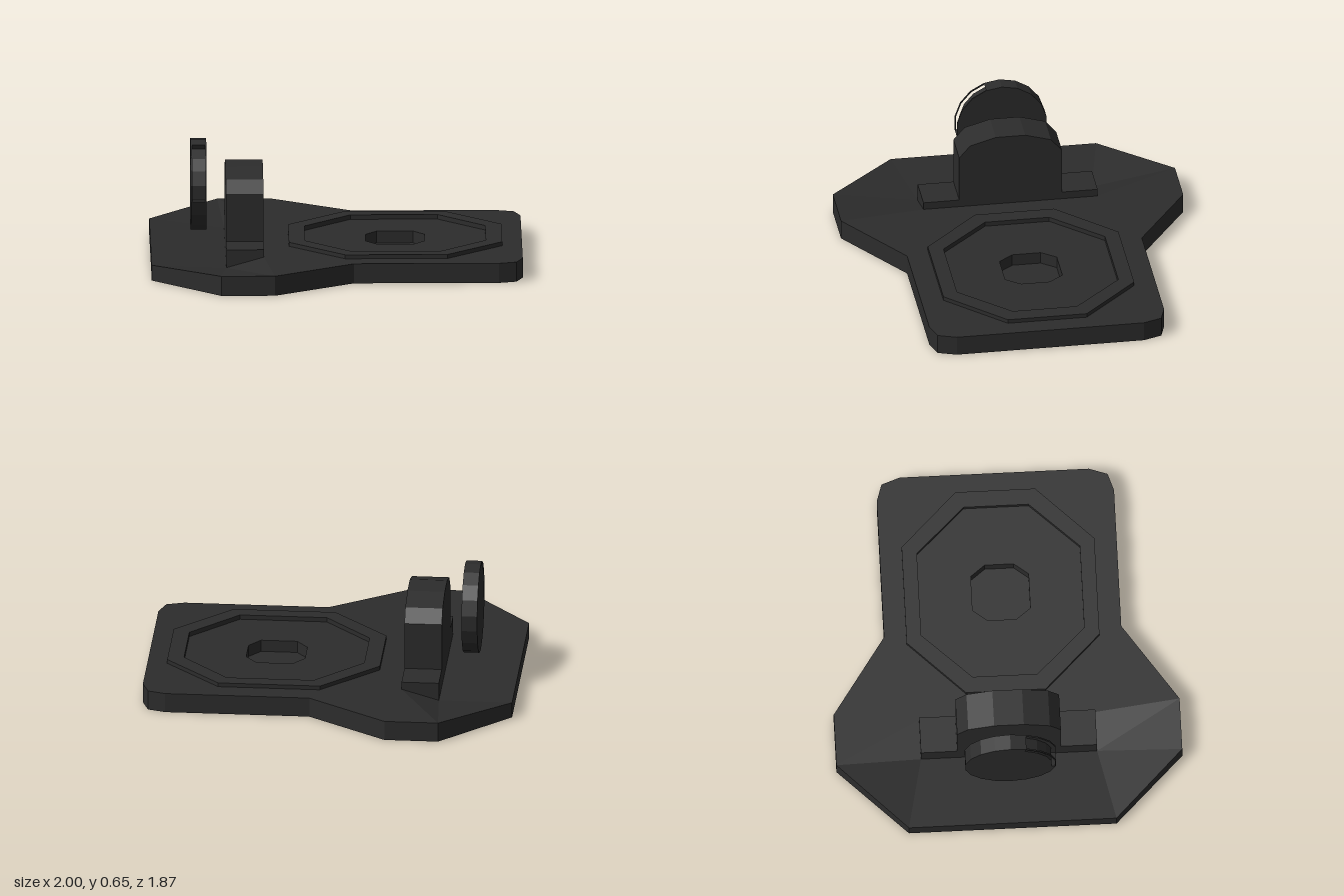
import * as THREE from 'three';

const material = new THREE.MeshStandardMaterial({ color: 0x2c2c2c, flatShading: true, side: THREE.DoubleSide });

const shape2 = (pts) => new THREE.Shape(pts.map(([a, b]) => new THREE.Vector2(a, b)));

// Horizontal sheet at height y from [x, z] points, with optional holes
function sheet(outline, y, holes = []) {
  const flip = (pts) => pts.map(([x, z]) => [x, -z]);
  const s = shape2(flip(outline));
  holes.forEach((h) => s.holes.push(shape2(flip(h))));
  return new THREE.ShapeGeometry(s).rotateX(-Math.PI / 2).translate(0, y, 0);
}

// Strip of quads between two rows of 3D points
function strip(a, b, closed = true) {
  const pos = [];
  const n = a.length;
  for (let i = 0; i < (closed ? n : n - 1); i++) {
    const j = (i + 1) % n;
    pos.push(...a[i], ...a[j], ...b[j], ...a[i], ...b[j], ...b[i]);
  }
  const g = new THREE.BufferGeometry();
  g.setAttribute('position', new THREE.Float32BufferAttribute(pos, 3));
  g.computeVertexNormals();
  return g;
}

const wall = (pts, y0, y1) => strip(pts.map(([x, z]) => [x, y0, z]), pts.map(([x, z]) => [x, y1, z]));

// Octagon with half sizes hx, hz and flat side half lengths fx, fz
function octagon(cx, hx, hz, fx, fz) {
  return [[hx, fz], [fx, hz], [-fx, hz], [-hx, fz], [-hx, -fz], [-fx, -hz], [fx, -hz], [hx, -fz]]
    .map(([x, z]) => [cx + x, z]);
}

export function createModel() {
  const root = new THREE.Group();
  const part = (name, ...geometries) => {
    const group = new THREE.Group();
    group.name = name;
    geometries.forEach((g) => group.add(new THREE.Mesh(g, material)));
    root.add(group);
  };

  const TOP = 0.108, END = 0.085, DIP = 0.05; // plate heights: main, far end, beside the support
  const X0 = -0.597, X1 = -0.395, FOOT = 0.475; // support extents
  const half = [[1, 0.51], [0.965, 0.61], [0.87, 0.64], [0.09, 0.64], [-0.34, 0.933], [-0.63, 0.933], [-1, 0.56]];
  const mirror = (pts) => [...pts, ...pts.map(([x, z]) => [x, -z]).reverse()];
  const mirror3 = (pts) => [...pts, ...pts.map(([x, y, z]) => [x, y, -z]).reverse()];
  const outline = mirror(half);

  const outer = octagon(0.318, 0.575, 0.52, 0.275, 0.215);
  const inner = octagon(0.318, 0.487, 0.44, 0.235, 0.175);
  const cup = octagon(0.318, 0.159, 0.156, 0.098, 0.078);

  // Hollow base: side walls, flat top, and the wing that dips towards the support; open below
  part('basePlate',
    strip(outline.map(([x, z]) => [x, 0, z]), outline.map(([x, z]) => [x, x < -0.9 ? END : TOP, z])),
    sheet(mirror([...half.slice(0, 5), [X1, FOOT]]), TOP, [outer]),
    strip(
      mirror3([[-0.34, TOP, 0.933], [-0.63, TOP, 0.933], [-1, END, 0.56]]),
      mirror3([[X1, TOP, FOOT], [X0, DIP, FOOT], [X0, DIP, FOOT]]), false));

  // Raised octagonal rim around the floor
  part('octagonRim', wall(outer, TOP, 0.13), sheet(outer, 0.13, [inner]), wall(inner, 0.105, 0.13));
  part('octagonFloor', sheet(inner, 0.105, [cup]));

  // Sunken octagonal cup in the floor
  part('centreRecess', wall(cup, 0.04, 0.105), sheet(cup, 0.04));

  // Upright support with its foot, hollow from below; profile is [z, y]
  const profile = (base) => mirrorZ([[FOOT, base], [FOOT, 0.149], [0.28, 0.149], [0.28, 0.41], [0.22, 0.48], [0.08, 0.52]]);
  const mirrorZ = (pts) => [...pts, ...pts.map(([z, y]) => [-z, y]).reverse()];
  const face = (x, base) => new THREE.ShapeGeometry(shape2(profile(base))).rotateY(-Math.PI / 2).translate(x, 0, 0);
  part('support',
    face(X0, DIP), face(X1, TOP),
    strip(profile(TOP).map(([z, y]) => [X1, y, z]), profile(DIP).map(([z, y]) => [X0, y, z]), false));

  // Upright disc, notched along part of its edge, with a thin back plate and a slim bar across the notch
  const R = 0.248;
  const rim = (i, r) => [Math.sin(i * Math.PI / 9) * r, Math.cos(i * Math.PI / 9) * r];
  const arc = (from, to, r) => Array.from({ length: to - from + 1 }, (_, k) => rim(from + k, r));
  const disc = (pts, x0, x1) => new THREE.ExtrudeGeometry(shape2(pts), { depth: x1 - x0, bevelEnabled: false })
    .rotateY(-Math.PI / 2).translate(x1, 0.405, 0);
  part('disc',
    disc([...arc(5, 19, R), ...arc(1, 5, R - 0.025)], -0.785, -0.708),
    disc(arc(0, 17, R), -0.708, -0.7));
  part('discEdgeBar', disc([...arc(1, 5, R), ...arc(1, 5, R - 0.006).reverse()], -0.785, -0.777));

  return root;
}
